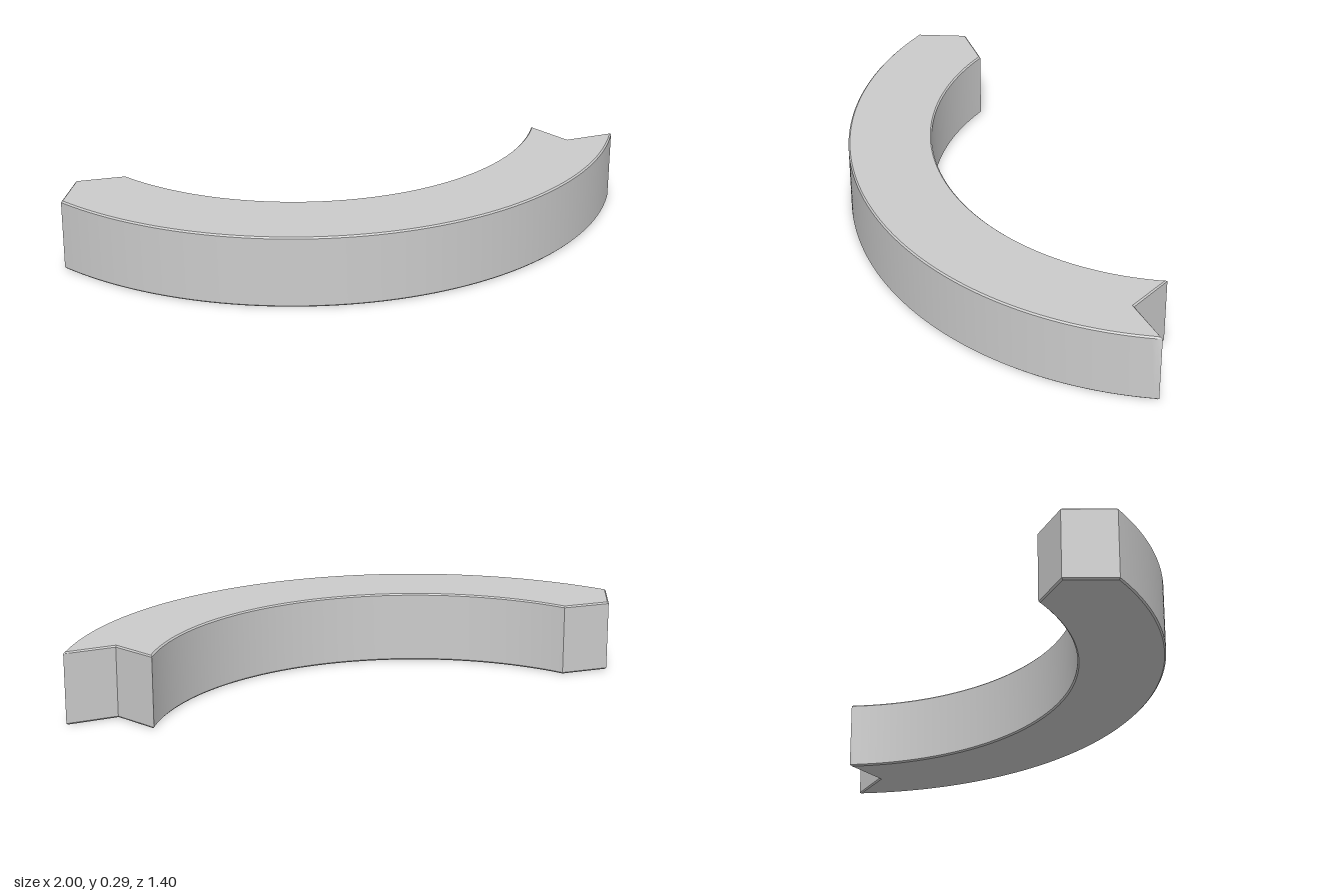
import * as THREE from 'three';
import { toCreasedNormals } from 'three/addons/utils/BufferGeometryUtils.js';

const CENTRE = { x: -0.357, z: -0.66 };
const OUTER = 1.355, INNER = 1.016, MIDDLE = 1.187;
const HEIGHT = 0.288, BEVEL = 0.006;
const rad = THREE.MathUtils.degToRad;

// Plan outline: an arc band with a notched end and a matching pointed end
function outline() {
  const { x, z } = CENTRE;
  const at = (r, deg) => [x + r * Math.cos(rad(deg)), z + r * Math.sin(rad(deg))];
  const start = -1.7, end = 117.4, tip = 5.4;
  const shape = new THREE.Shape();
  shape.moveTo(...at(OUTER, start));
  shape.absarc(x, z, OUTER, rad(start), rad(end), false);
  shape.lineTo(...at(MIDDLE, end + tip));
  shape.lineTo(...at(INNER, end));
  shape.absarc(x, z, INNER, rad(end), rad(start), true);
  shape.lineTo(...at(MIDDLE, start + tip));
  shape.closePath();
  return shape;
}

export function createModel() {
  const group = new THREE.Group();
  group.name = 'curvedSegment';

  // Upright walls with a slim chamfer along the top and bottom edges
  const geometry = new THREE.ExtrudeGeometry(outline(), {
    depth: HEIGHT - 2 * BEVEL,
    curveSegments: 72,
    bevelEnabled: true,
    bevelThickness: BEVEL,
    bevelSize: BEVEL,
    bevelOffset: -BEVEL,
    bevelSegments: 1,
  });
  geometry.rotateX(Math.PI / 2);
  geometry.translate(0, HEIGHT - BEVEL, 0);

  const body = new THREE.Mesh(
    toCreasedNormals(geometry, 0.5),
    new THREE.MeshStandardMaterial({ color: 0xcccccc })
  );
  body.name = 'notchedArcBlock';
  group.add(body);
  return group;
}
